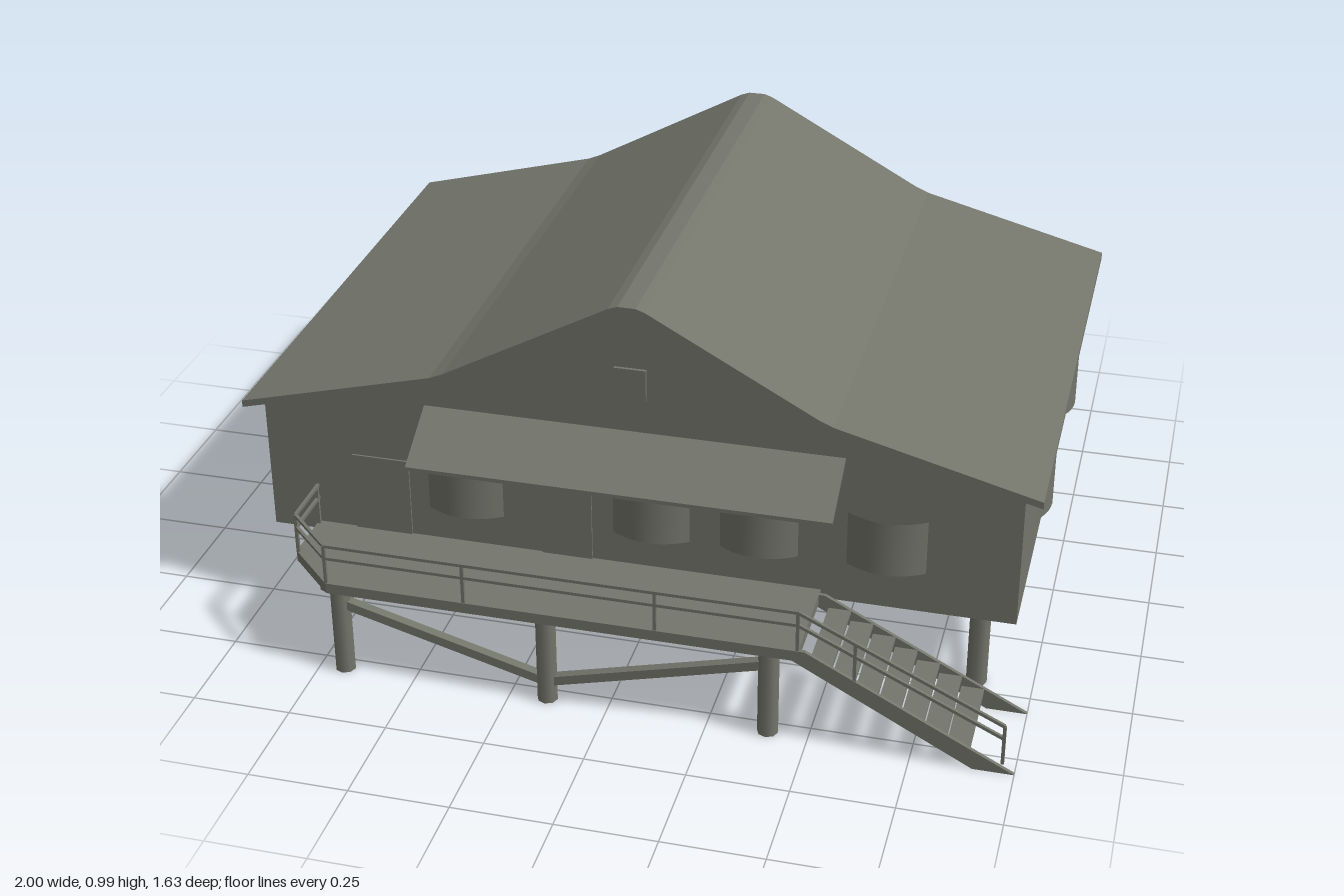
import * as THREE from 'three';

const paint = new THREE.MeshStandardMaterial({ color: 0x74756b });
paint.name = 'weathered grey';
paint.side = THREE.DoubleSide;

export function createModel() {
  const root = new THREE.Group();
  root.name = 'stiltHouse';

  const add = (name, geo, x = 0, y = 0, z = 0, parent = root) => {
    const m = new THREE.Mesh(geo, paint);
    m.name = name;
    m.position.set(x, y, z);
    parent.add(m);
    return m;
  };
  const group = (name) => {
    const g = new THREE.Group();
    g.name = name;
    root.add(g);
    return g;
  };
  const box = (name, x0, x1, y0, y1, z0, z1, parent) =>
    add(name, new THREE.BoxGeometry(x1 - x0, y1 - y0, z1 - z0),
      (x0 + x1) / 2, (y0 + y1) / 2, (z0 + z1) / 2, parent);
  const extrude = (pts, depth) => new THREE.ExtrudeGeometry(
    new THREE.Shape(pts.map(([x, y]) => new THREE.Vector2(x, y))), { depth, bevelEnabled: false });
  // square bar between two points
  const bar = (name, a, b, t, parent) => {
    const p = new THREE.Vector3(...a), q = new THREE.Vector3(...b);
    const m = add(name, new THREE.BoxGeometry(t, t, p.distanceTo(q)), 0, 0, 0, parent);
    m.position.copy(p).add(q).multiplyScalar(0.5);
    m.lookAt(q);
    return m;
  };
  const mirror = (half) => [...half, ...half.map(([x, y]) => [-x, y]).reverse()];

  // walls with the gable ends
  add('walls', extrude(mirror([[0.955, 0.24], [0.955, 0.612], [0.48, 0.735], [0.03, 0.978]]), 1.315), 0, 0, -0.775);

  // two-pitch roof sheet with a rounded ridge
  const outer = mirror([[1, 0.61], [0.5, 0.74], [0.465, 0.755], [0.045, 0.984], [0.022, 0.992]]);
  const inner = mirror([[1, 0.592], [0.5, 0.72], [0.465, 0.734], [0.045, 0.962], [0.022, 0.97]]);
  add('roof', extrude([...outer, ...inner.reverse()], 1.39), 0, 0, -0.815);

  // bowed windows; angle turns them to their wall
  const windows = group('windows');
  const bowWindow = (x, z, angle) => {
    const w = 0.195, geo = new THREE.PlaneGeometry(w, 0.145, 10, 1), p = geo.attributes.position;
    for (let i = 0; i < p.count; i++) p.setZ(i, 0.032 * (1 - (2 * p.getX(i) / w) ** 2) + 0.001);
    geo.computeVertexNormals();
    add('window', geo, x, 0.4225, z, windows).rotation.y = angle;
  };
  for (const x of [-0.432, 0.047, 0.318, 0.633]) bowWindow(x, 0.54, 0);
  for (const x of [-0.465, 0.01, 0.485]) bowWindow(x, -0.775, Math.PI);
  for (const s of [-1, 1]) for (const z of [0.14, -0.4]) bowWindow(s * 0.955, s < 0 && z < 0 ? -0.36 : z, s * Math.PI / 2);

  // doors and gable vents
  box('door', -0.73, -0.58, 0.262, 0.475, 0.54, 0.545);
  box('door', -0.235, -0.105, 0.262, 0.495, 0.54, 0.545);
  box('frontVent', -0.042, 0.038, 0.73, 0.815, 0.54, 0.548);
  box('backVent', -0.042, 0.038, 0.73, 0.815, -0.783, -0.775);

  // stilts
  const stilts = group('stilts');
  const post = (x, z) => add('post', new THREE.CylinderGeometry(0.026, 0.026, 0.24, 8), x, 0.12, z, stilts);
  const cols = [-0.86, -0.385, 0.385, 0.86], rows = [0.455, -0.125, -0.69];
  for (const x of cols) for (const z of rows) post(x, z);
  const porchPosts = [[-0.78, 0.545], [-0.685, 0.785], [-0.155, 0.785], [0.4, 0.785]];
  for (const [x, z] of porchPosts) post(x, z);

  // zigzag braces, alternating low and high along each run
  const brace = (pts) => {
    for (let i = 0; i + 1 < pts.length; i++) {
      const y = (k) => (k % 2 ? 0.2 : 0.055);
      bar('brace', [pts[i][0], y(i), pts[i][1]], [pts[i + 1][0], y(i + 1), pts[i + 1][1]], 0.024, stilts);
    }
  };
  brace([-0.86, -0.385, 0.385, 0.86].map((x) => [x, -0.69]));
  for (const x of [-0.86, 0.86]) brace(rows.map((z) => [x, z]));
  brace(porchPosts);

  // porch deck with a cut corner
  const deck = [[-0.835, -0.53], [-0.835, -0.69], [-0.71, -0.812], [0.475, -0.812], [0.475, -0.53]];
  add('deck', extrude(deck, 0.028), 0, 0.235, 0).rotation.x = -Math.PI / 2;

  // railing round the deck and down the stairs
  const railing = group('railing');
  const path = [[-0.83, 0.262, 0.54], [-0.83, 0.262, 0.69], [-0.71, 0.262, 0.806], [0.472, 0.262, 0.806], [0.97, 0.025, 0.806]];
  const up = ([x, y, z], h) => [x, y + h, z];
  for (const h of [0.072, 0.107])
    for (let i = 0; i + 1 < path.length; i++) bar('rail', up(path[i], h), up(path[i + 1], h), 0.008, railing);
  const balusters = [[-0.83, 0.262, 0.55], path[1], path[2], [-0.355, 0.262, 0.806], [0.125, 0.262, 0.806],
    path[3], [0.61, 0.196, 0.806], path[4]];
  for (const p of balusters) bar('railPost', p, up(p, 0.107), 0.008, railing);

  // stairs
  const stairs = group('stairs');
  const stringer = [[0.46, 0.235], [0.9, 0], [1, 0], [0.49, 0.263], [0.46, 0.263]];
  for (const z of [0.555, 0.802]) add('stringer', extrude(stringer, 0.01), 0, 0, z, stairs);
  for (let i = 0; i < 7; i++) {
    const x = 0.5 + i * 0.056, y = 0.225 - i * 0.029;
    box('tread', x, x + 0.056, y - 0.005, y + 0.005, 0.56, 0.806, stairs);
  }

  // awning over the porch, with its props
  const awning = group('awning');
  add('awningSheet', extrude([[-0.54, 0.632], [-0.54, 0.642], [-0.692, 0.552], [-0.692, 0.542]], 1.055),
    -0.53, 0, 0, awning).rotation.y = Math.PI / 2;
  for (const x of [-0.255, 0.185]) bar('awningProp', [x, 0.521, 0.54], [x, 0.548, 0.685], 0.01, awning);

  return root;
}
